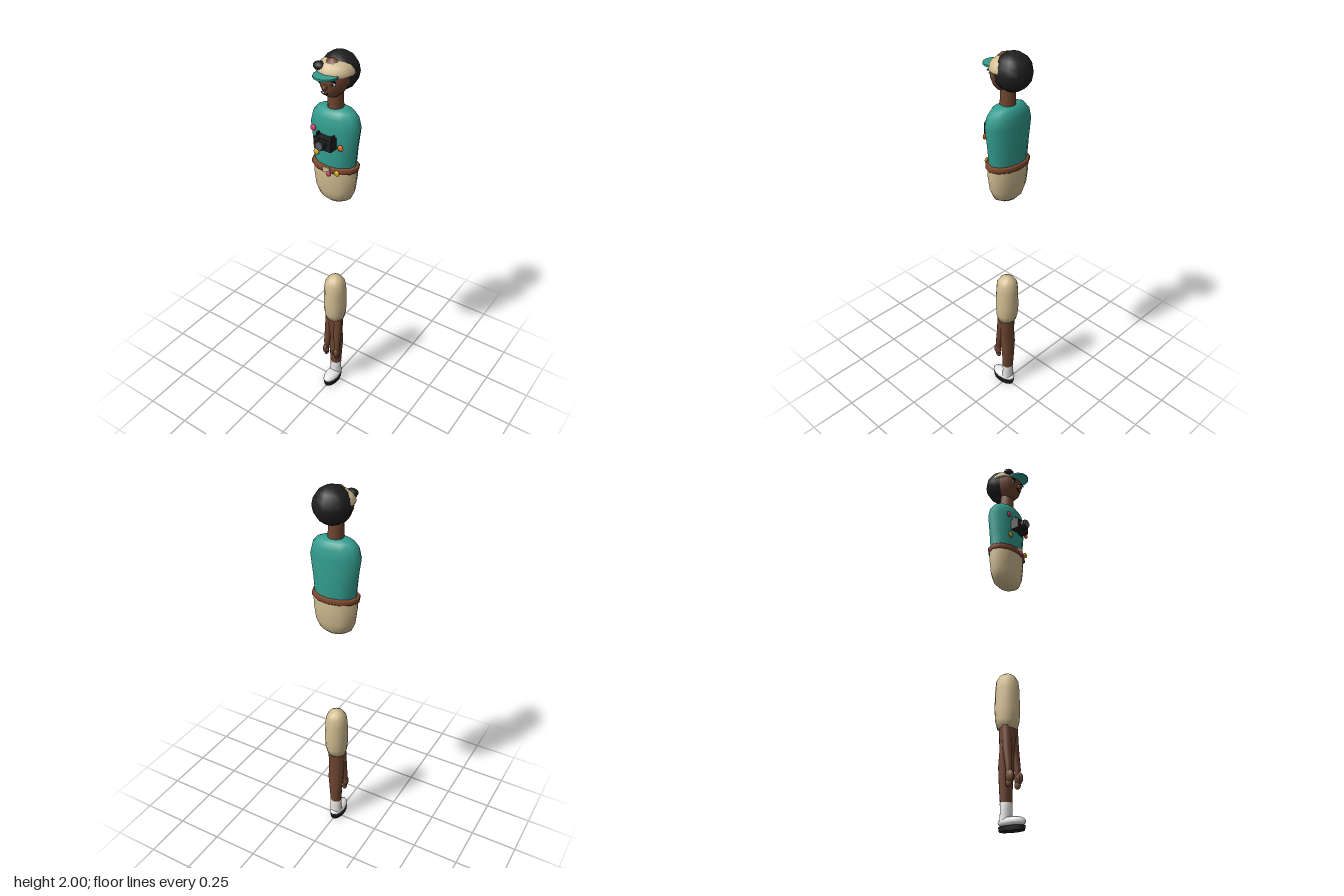
import * as THREE from 'three';

const mat = (name, color) => Object.assign(new THREE.MeshStandardMaterial({ color }), { name });
const teal = mat('teal', 0x339e90);
const khaki = mat('khaki', 0xd2be92);
const skin = mat('skin', 0x6e4530);
const leather = mat('leather', 0x80492f);
const black = mat('black', 0x1f1f20);
const white = mat('white', 0xf0f0f0);
const pink = mat('pink', 0xd8406f);
const orange = mat('orange', 0xe0682a);
const yellow = mat('yellow', 0xe0b028);
const grey = mat('grey', 0x5a5862);

// Skin through elliptical rings listed from bottom to top: [y, rx, rz, cz, cx]
function loft(rings, seg = 12) {
  const pos = [], idx = [];
  for (const [y, rx, rz, cz = 0, cx = 0] of rings) {
    for (let i = 0; i < seg; i++) {
      const a = (i / seg) * Math.PI * 2;
      pos.push(cx + rx * Math.sin(a), y, cz + rz * Math.cos(a));
    }
  }
  for (let r = 0; r < rings.length - 1; r++) {
    for (let i = 0; i < seg; i++) {
      const a = r * seg + i, b = r * seg + (i + 1) % seg;
      idx.push(a, b, b + seg, a, b + seg, a + seg);
    }
  }
  const g = new THREE.BufferGeometry();
  g.setAttribute('position', new THREE.Float32BufferAttribute(pos, 3));
  g.setIndex(idx);
  g.computeVertexNormals();
  return g;
}

export function createModel() {
  const model = new THREE.Group();
  model.name = 'figure';

  function add(name, geo, material, x = 0, y = 0, z = 0) {
    const m = new THREE.Mesh(geo, material);
    m.name = name;
    m.position.set(x, y, z);
    model.add(m);
    return m;
  }
  const ball = (name, material, [x, y, z], [rx, ry, rz], w = 12, h = 8) =>
    add(name, new THREE.SphereGeometry(1, w, h).scale(rx, ry, rz), material, x, y, z);

  // Head and neck
  add('head', loft([
    [1.81, 0, 0, 0.015], [1.815, 0.03, 0.03, 0.02], [1.84, 0.056, 0.056, 0.008],
    [1.88, 0.076, 0.074, 0], [1.92, 0.08, 0.075, 0], [1.955, 0.06, 0.05, 0.005],
    [1.981, 0.016, 0.014, 0.017], [1.982, 0, 0, 0.017],
  ]), skin);
  add('neck', loft([[1.73, 0.04, 0.04, -0.008], [1.78, 0.037, 0.037, -0.008], [1.85, 0.036, 0.036, -0.006]]), skin);
  ball('hair', black, [0, 1.91, -0.042], [0.092, 0.09, 0.088]);

  // Face
  for (const s of [-1, 1]) {
    ball('eye', white, [s * 0.034, 1.886, 0.064], [0.014, 0.008, 0.005], 10, 6);
    ball('pupil', black, [s * 0.034, 1.886, 0.069], [0.006, 0.007, 0.003], 8, 6);
    const brow = add('eyebrow', new THREE.BoxGeometry(0.032, 0.006, 0.006), black, s * 0.035, 1.903, 0.07);
    brow.rotation.z = -s * 0.15;
  }
  ball('nose', skin, [0, 1.868, 0.078], [0.011, 0.014, 0.014], 8, 6);
  const mouth = add('mouth', new THREE.TorusGeometry(0.024, 0.003, 5, 10, Math.PI * 0.6), black, 0, 1.861, 0.077);
  mouth.rotation.z = Math.PI * 1.2;

  // Cap with brim
  const dome = new THREE.SphereGeometry(1, 12, 5, 0, Math.PI * 2, 0, Math.PI / 2);
  add('capDome', dome.scale(0.093, 0.06, 0.087), khaki, 0, 1.92, -0.01);
  add('capBase', new THREE.CylinderGeometry(1, 1, 0.004, 12).scale(0.092, 1, 0.086), khaki, 0, 1.918, -0.01);
  add('capBrim', new THREE.CylinderGeometry(1, 1, 0.009, 14).scale(0.058, 1, 0.06), teal, 0, 1.921, 0.068);
  ball('capPatch', black, [-0.05, 1.947, 0.044], [0.031, 0.02, 0.026]);

  // Torso, belt and hips
  add('shirt', loft([
    [1.45, 0.108, 0.07, -0.01], [1.55, 0.117, 0.073, -0.01], [1.66, 0.133, 0.074, -0.01],
    [1.71, 0.12, 0.068, -0.01], [1.738, 0.095, 0.055, -0.01], [1.75, 0.055, 0.04, -0.01], [1.752, 0, 0, -0.01],
  ]), teal);
  add('belt', loft([
    [1.44, 0.1, 0.065, -0.008], [1.441, 0.12, 0.08, -0.008], [1.446, 0.125, 0.084, -0.008],
    [1.464, 0.125, 0.084, -0.008], [1.469, 0.12, 0.08, -0.008], [1.47, 0.1, 0.065, -0.008],
  ]), leather);
  add('hips', loft([
    [1.255, 0, 0, -0.01], [1.26, 0.05, 0.035, -0.01], [1.28, 0.085, 0.055, -0.01], [1.325, 0.106, 0.068, -0.01],
    [1.4, 0.116, 0.075, -0.01], [1.455, 0.117, 0.075, -0.01],
  ]), khaki);

  // Camera on the chest
  add('cameraBody', new THREE.BoxGeometry(0.094, 0.058, 0.045), black, 0, 1.601, 0.079);
  const lens = (name, r, len, material, z) =>
    add(name, new THREE.CylinderGeometry(r, r, len, 12).rotateX(Math.PI / 2), material, 0, 1.605, z);
  lens('cameraLens', 0.025, 0.026, black, 0.11);
  lens('lensGlass', 0.021, 0.008, grey, 0.126);
  for (const s of [-1, 1]) {
    add('strapLug', new THREE.BoxGeometry(0.009, 0.016, 0.02), black, s * 0.042, 1.636, 0.075);
  }

  // Buttons on the shirt and belt
  for (const [x, y, z, r, m] of [
    [-0.075, 1.65, 0.065, 0.016, pink], [0.075, 1.588, 0.065, 0.016, orange], [-0.06, 1.53, 0.064, 0.016, yellow],
    [0.06, 1.455, 0.072, 0.015, yellow], [0.016, 1.442, 0.078, 0.014, pink],
  ]) ball('button', m, [x, y, z], [r, r, 0.007], 10, 6);
  add('buckle', new THREE.BoxGeometry(0.036, 0.026, 0.008), khaki, 0.005, 1.46, 0.077);

  // Shorts leg
  add('shortsLeg', loft([
    [0.478, 0, 0, -0.003], [0.48, 0.052, 0.048, -0.003], [0.52, 0.06, 0.059, -0.003], [0.58, 0.063, 0.063, -0.004],
    [0.68, 0.06, 0.06, -0.004], [0.725, 0.055, 0.055, -0.004], [0.752, 0.038, 0.038, -0.004],
    [0.764, 0.016, 0.016, -0.004], [0.766, 0, 0, -0.004],
  ]), khaki);

  // Lower leg, sock and shoe
  add('lowerLeg', loft([
    [0.11, 0.031, 0.027, -0.01], [0.2, 0.036, 0.031, -0.012], [0.3, 0.044, 0.036, -0.01],
    [0.38, 0.045, 0.036, -0.002], [0.49, 0.047, 0.042, -0.002],
  ]), skin);
  add('sock', loft([
    [0.045, 0.036, 0.03, -0.01], [0.1, 0.032, 0.027, -0.01], [0.13, 0.034, 0.029, -0.01], [0.131, 0.028, 0.024, -0.01],
  ]), white);
  ball('shoe', white, [0, 0.041, 0.022], [0.04, 0.026, 0.077]);
  add('sole', new THREE.CylinderGeometry(1, 0.94, 0.022, 14).scale(0.039, 1, 0.073), black, 0, 0.011, 0.022);

  // Forearms and hands
  for (const s of [-1, 1]) {
    add('forearm', loft([
      [0.25, 0.013, 0.013, 0.031, s * 0.035], [0.29, 0.017, 0.016, 0.03, s * 0.034],
      [0.38, 0.023, 0.022, 0.017, s * 0.029], [0.49, 0.025, 0.025, 0.008, s * 0.027],
    ], 10), skin);
    ball('palm', skin, [s * 0.036, 0.245, 0.036], [0.016, 0.032, 0.024], 10, 6);
    ball('fingers', skin, [s * 0.035, 0.213, 0.03], [0.012, 0.02, 0.018], 8, 6);
    ball('thumb', skin, [s * 0.022, 0.243, 0.045], [0.008, 0.02, 0.009], 8, 6);
  }

  return model;
}
